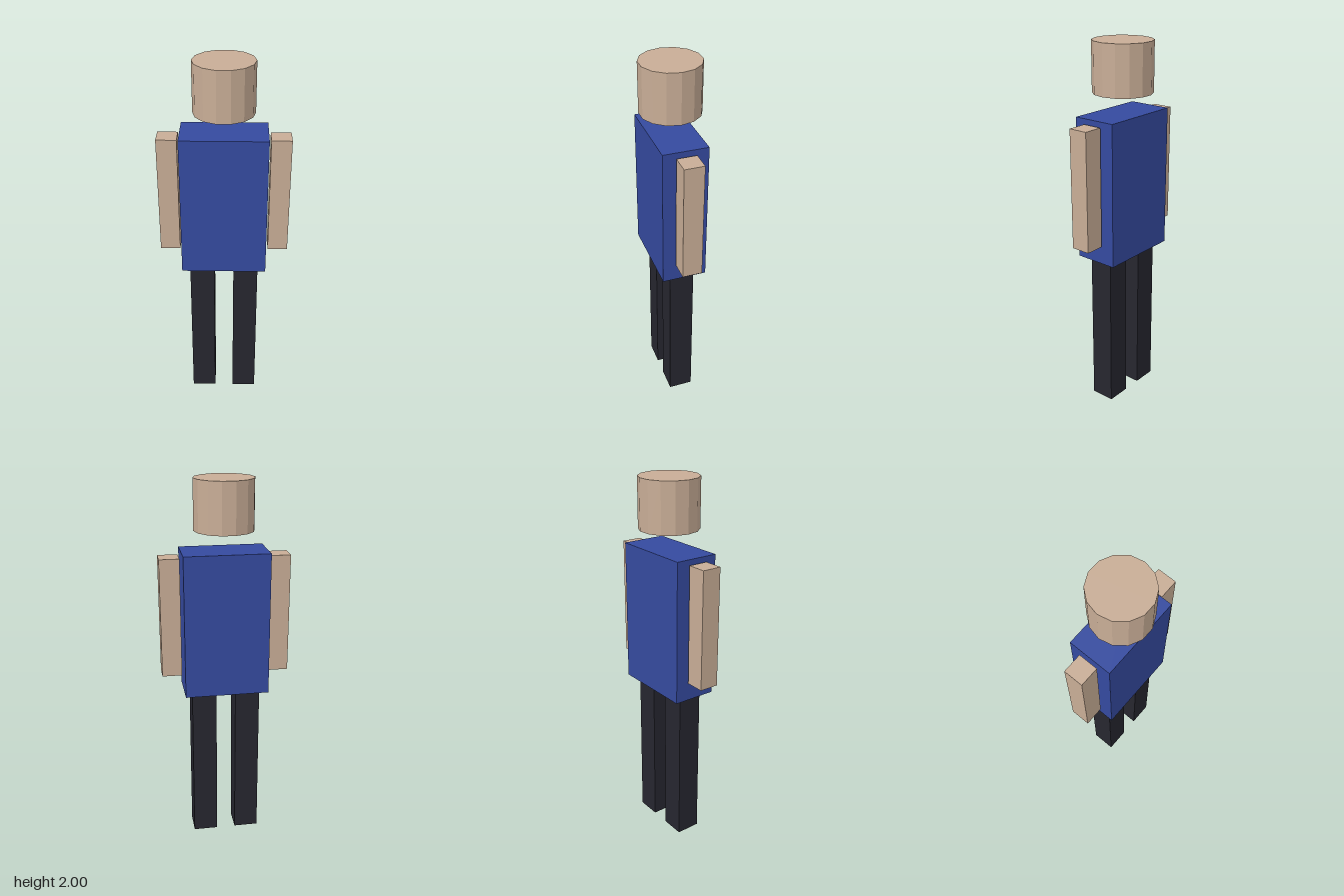
import * as THREE from 'three';

const material = (color) => new THREE.MeshStandardMaterial({ color, flatShading: true });

export function createModel() {
  const model = new THREE.Group();
  model.name = 'figure';
  const skin = material(0xc8ad96);
  const shirt = material(0x354a9f);
  const trousers = material(0x26262f);

  const add = (name, geometry, mat, x, y) => {
    const mesh = new THREE.Mesh(geometry, mat);
    mesh.name = name;
    mesh.position.set(x, y, 0);
    model.add(mesh);
  };

  // Head: 14-sided drum with corners on the x axis, floating above the torso
  add('head', new THREE.CylinderGeometry(0.157, 0.157, 0.262, 14, 1, false, Math.PI / 2), skin, 0, 1.869);

  // Torso
  add('torso', new THREE.BoxGeometry(0.448, 0.762, 0.237), shirt, 0, 1.254);

  // Mirrored limbs; the arms stand slightly off the torso
  const armGeometry = new THREE.BoxGeometry(0.105, 0.633, 0.105);
  const legGeometry = new THREE.BoxGeometry(0.132, 0.873, 0.132);
  for (const [side, s] of [['left', 1], ['right', -1]]) {
    add(side + 'Arm', armGeometry, skin, s * 0.288, 1.293);
    add(side + 'Leg', legGeometry, trousers, s * 0.118, 0.4365);
  }

  return model;
}
